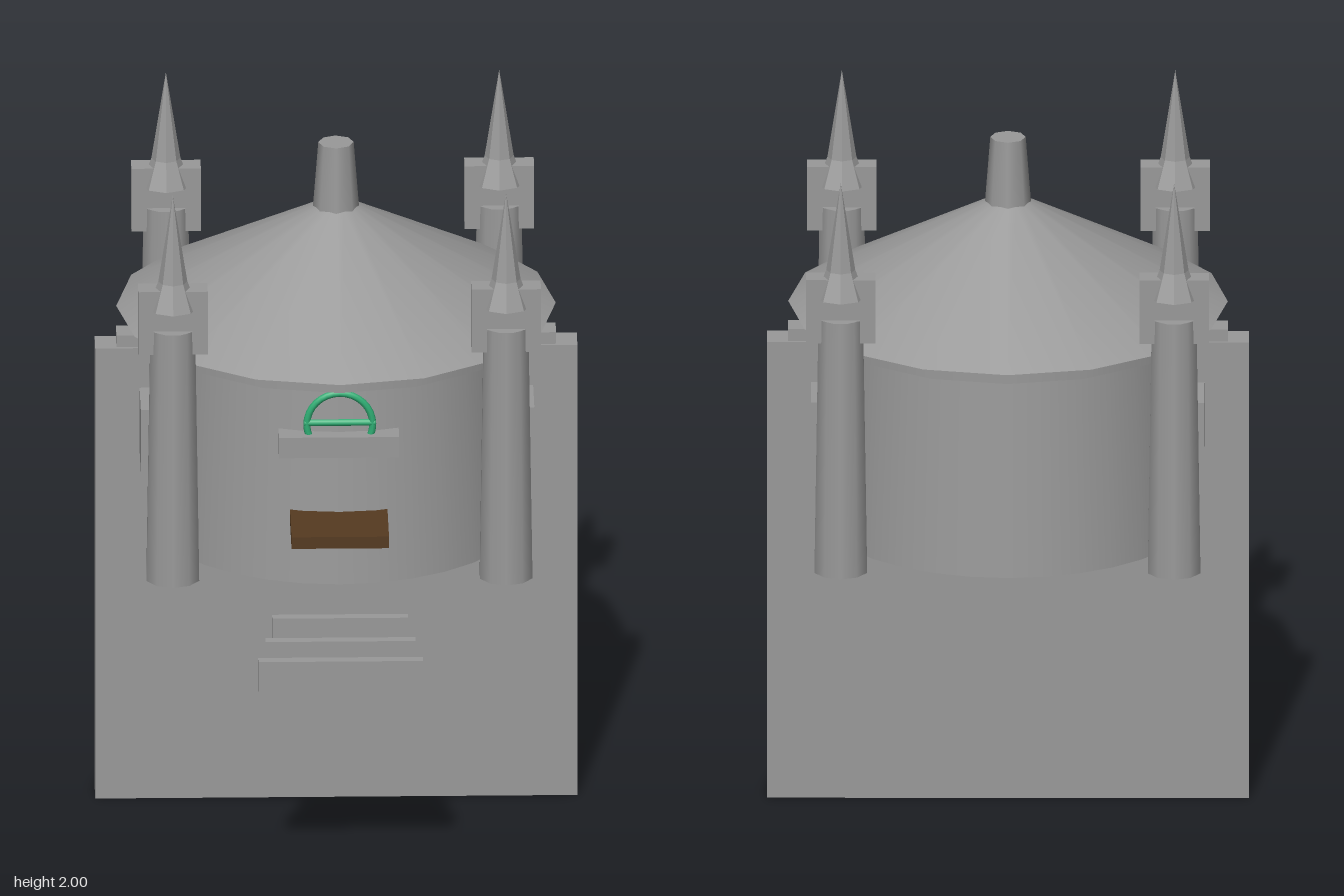
import * as THREE from 'three';

const mat = (name, color, extra = {}) => {
  const m = new THREE.MeshStandardMaterial({ color, ...extra });
  m.name = name;
  return m;
};

export function createModel() {
  const group = new THREE.Group();
  const stone = mat('grey stone', 0x999999, { side: THREE.DoubleSide });
  const wood = mat('brown wood', 0x553a20);
  const green = mat('green frame', 0x2fae74);

  const add = (name, geometry, material, x = 0, y = 0, z = 0, parent = group) => {
    const m = new THREE.Mesh(geometry, material);
    m.name = name;
    m.position.set(x, y, z);
    parent.add(m);
    return m;
  };
  // Box given by its lower and upper limits on each axis
  const box = (name, x, y, z, material = stone, parent = group) => add(name,
    new THREE.BoxGeometry(x[1] - x[0], y[1] - y[0], z[1] - z[0]), material,
    (x[0] + x[1]) / 2, (y[0] + y[1]) / 2, (z[0] + z[1]) / 2, parent);
  const tube = (rTop, rBottom, y0, y1, sides, open) => {
    const g = new THREE.CylinderGeometry(rTop, rBottom, y1 - y0, sides, 1, open);
    return g.translate(0, (y0 + y1) / 2, 0);
  };
  const cz = -0.085; // axis of the round keep

  // Tall slab through the keep, with its narrower cap
  box('slab', [-0.68, 0.68], [0.005, 1.37], [-0.128, -0.032]);
  box('slabCap', [-0.62, 0.62], [1.37, 1.405], [-0.118, -0.042]);

  // Round keep, open below
  add('keepWall', tube(0.5, 0.535, 0.84, 1.45, 32, true), stone, 0, 0, cz);

  // Eaves band, roof cone with closed underside, and chimney
  add('eavesBand', tube(0.56, 0.56, 1.43, 1.475, 16), stone, 0, 0, cz);
  add('roof', tube(0.06, 0.62, 1.478, 1.78, 16), stone, 0, 0, cz);
  add('chimney', tube(0.05, 0.067, 1.75, 1.97, 8), stone, 0, 0, cz);

  // Four corner turrets: shaft, cross block and flared spire
  const spire = new THREE.LatheGeometry(
    [[0, 1.66], [0.07, 1.66], [0.041, 1.74], [0, 2]].map(p => new THREE.Vector2(...p)), 8)
    .toNonIndexed();
  spire.computeVertexNormals();
  for (const x of [-0.47, 0.47]) for (const z of [-0.555, 0.39]) {
    const turret = new THREE.Group();
    turret.name = 'turret';
    turret.position.set(x, 0, z);
    group.add(turret);
    add('turretShaft', tube(0.066, 0.078, 0.84, 1.6, 10, true), stone, 0, 0, 0, turret);
    add('shaftTop', new THREE.CircleGeometry(0.066, 10).rotateX(-Math.PI / 2), stone, 0, 1.6, 0, turret);
    box('turretBlock', [-0.098, 0.098], [1.53, 1.72], [-0.033, 0.033], stone, turret);
    add('spire', spire, stone, 0, 0, 0, turret);
  }

  // Side panels
  for (const s of [-1, 1]) {
    const xs = s > 0 ? [0.5, 0.555] : [-0.555, -0.5];
    box('sidePanel', xs, [1.06, 1.25], [-0.3, 0.14]);
  }

  // Floating steps
  box('lowerStep', [-0.235, 0.23], [0.61, 0.705], [0.668, 0.7]);
  box('middleStep', [-0.213, 0.21], [0.645, 0.74], [0.605, 0.635]);
  box('upperStep', [-0.193, 0.19], [0.685, 0.785], [0.54, 0.57]);

  // Plank below the window
  box('plank', [-0.14, 0.135], [1.02, 1.055], [0.39, 0.63], wood);

  // Round window frame with crossbar and sill
  add('windowRing', new THREE.TorusGeometry(0.093, 0.01, 8, 32), green, 0, 1.32, 0.435);
  add('windowBar', new THREE.CylinderGeometry(0.01, 0.01, 0.2, 8).rotateZ(Math.PI / 2), green, 0, 1.325, 0.435);
  box('windowSill', [-0.172, 0.167], [1.23, 1.292], [0.39, 0.466]);

  return group;
}
